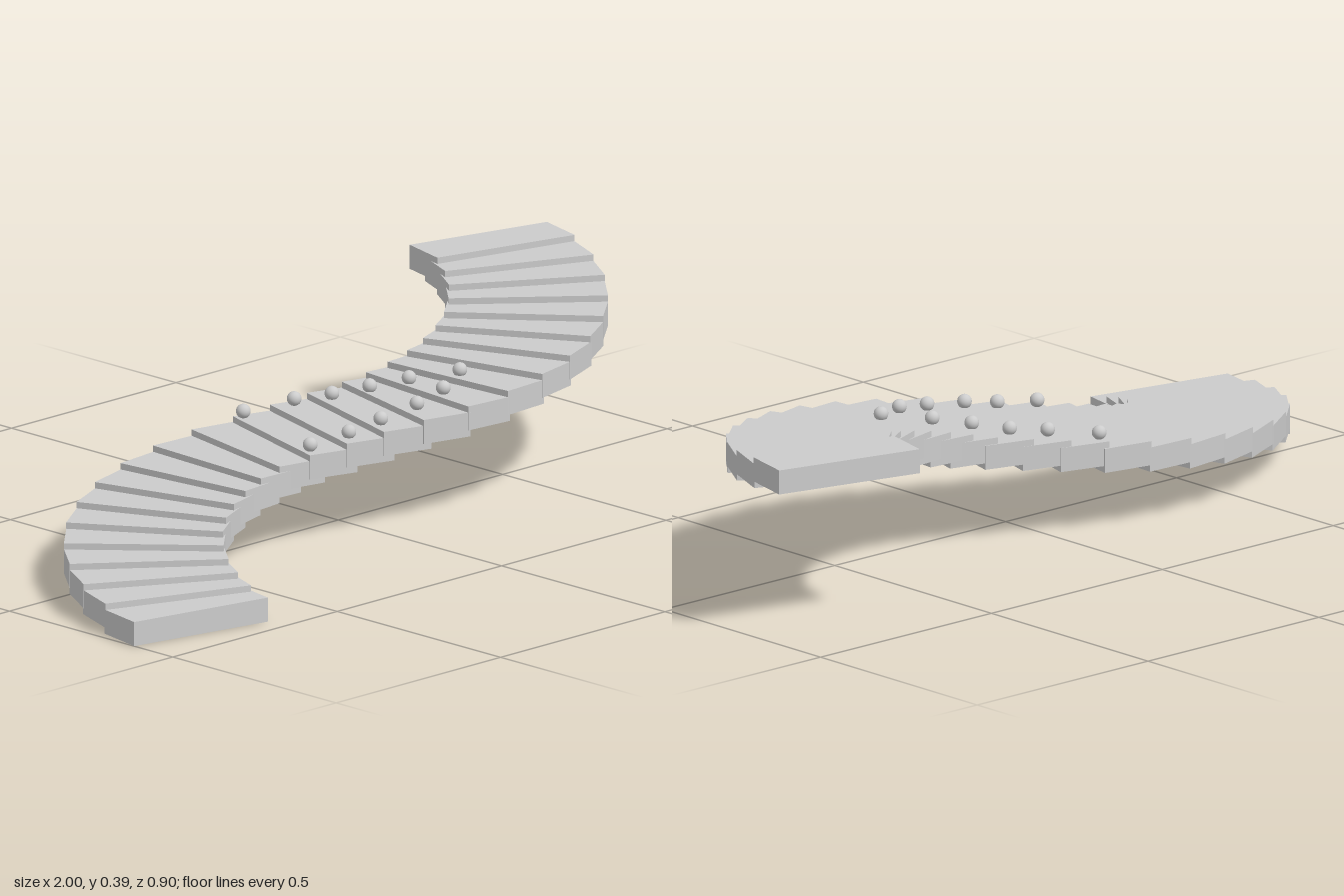
import * as THREE from 'three';

const STEPS = 25, RISE = 0.014, THICK = 0.054, WIDTH = 0.345, DEPTH = 0.117;
const PITCH = 9, ARC_STEPS = 11; // degrees per step, steps in each arc
const rad = THREE.MathUtils.degToRad;

// Position on an arc; side -1 is the lower turn, +1 the upper turn
function arcPoint(cx, cz, radius, degrees, side) {
  const a = rad(degrees);
  return { x: cx + side * radius * Math.cos(a), z: cz + side * radius * Math.sin(a), angle: degrees };
}
const lower = (i) => arcPoint(-0.287, 0.467, 0.543, 11.5 + PITCH * i, -1);
const upper = (i) => arcPoint(0.297, -0.48, 0.535, 14 + PITCH * (STEPS - 1 - i), 1);

// Lower arc, short straight run, upper arc
function stepPlace(i) {
  const lastLower = ARC_STEPS - 1, firstUpper = STEPS - ARC_STEPS;
  if (i <= lastLower) return lower(i);
  if (i >= firstUpper) return upper(i);
  const p = lower(lastLower), q = upper(firstUpper);
  const t = (i - lastLower) / (firstUpper - lastLower);
  return {
    x: THREE.MathUtils.lerp(p.x, q.x, t),
    z: THREE.MathUtils.lerp(p.z, q.z, t),
    angle: 106,
  };
}

export function createModel() {
  const model = new THREE.Group();
  model.name = 'curvedStairway';
  const material = new THREE.MeshStandardMaterial({ color: 0xcccccc });

  // Overlapping slab steps climbing along the S curve
  const steps = new THREE.Group();
  steps.name = 'steps';
  const slab = new THREE.BoxGeometry(WIDTH, THICK, DEPTH);
  for (let i = 0; i < STEPS; i++) {
    const { x, z, angle } = stepPlace(i);
    const step = new THREE.Mesh(slab, material);
    step.name = `step${i + 1}`;
    step.position.set(x, THICK / 2 + RISE * i, z);
    step.rotation.y = -rad(angle);
    steps.add(step);
  }
  model.add(steps);

  // Small balls resting on the middle steps: x, y, z
  const balls = new THREE.Group();
  balls.name = 'balls';
  const ballGeometry = new THREE.SphereGeometry(0.016, 20, 14);
  const spots = [
    [-0.095, 0.224, -0.195], [0.01, 0.241, -0.145], [0.08, 0.248, -0.1],
    [0.145, 0.262, -0.05], [0.215, 0.276, 0], [0.305, 0.289, 0.065],
    [-0.17, 0.222, 0.085], [-0.07, 0.234, 0.103], [0.015, 0.249, 0.115],
    [0.12, 0.263, 0.12], [0.21, 0.277, 0.11],
  ];
  spots.forEach(([x, y, z], i) => {
    const ball = new THREE.Mesh(ballGeometry, material);
    ball.name = `ball${i + 1}`;
    ball.position.set(x, y, z);
    balls.add(ball);
  });
  model.add(balls);

  return model;
}
